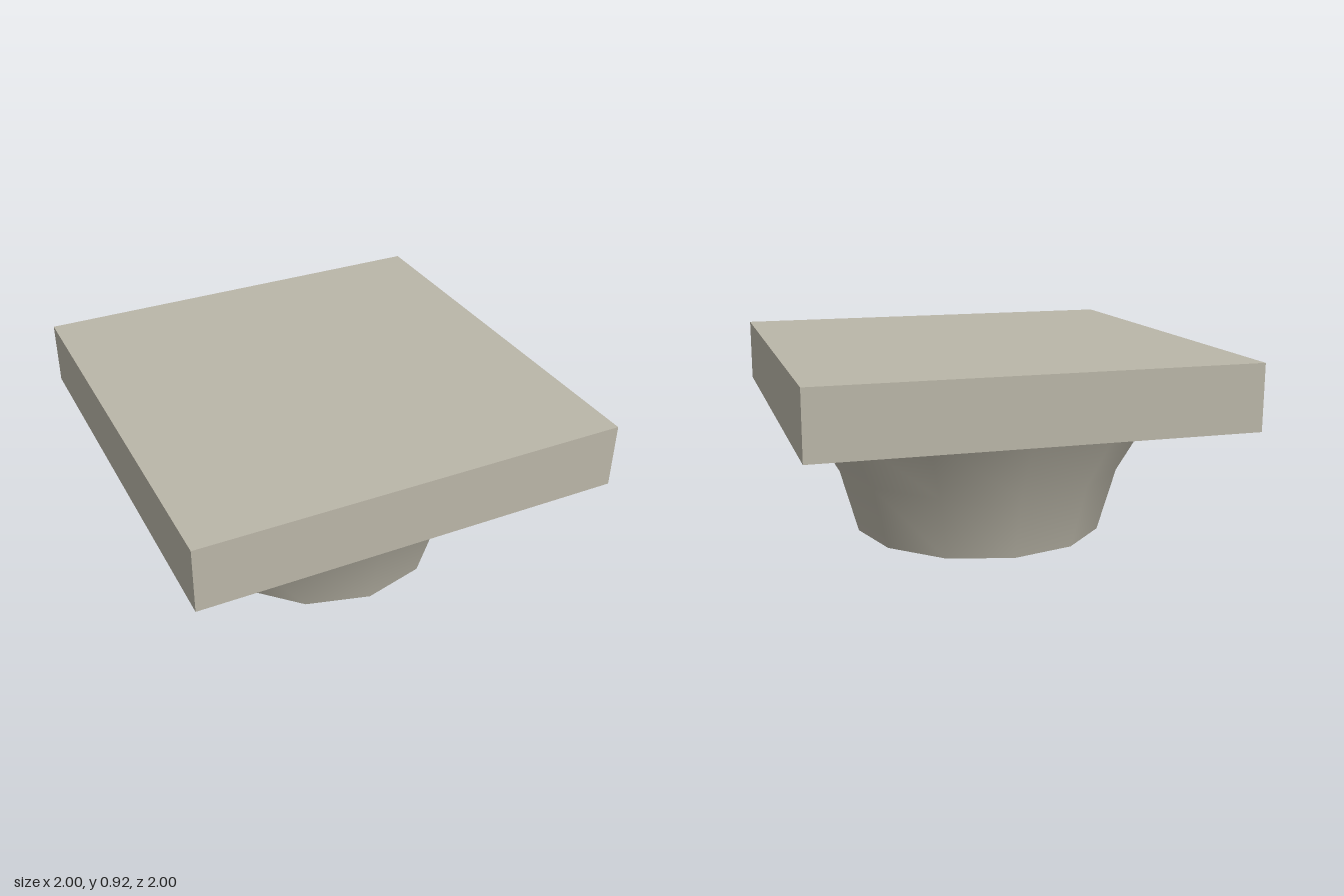
import * as THREE from 'three';

const SIDES = 12;
const SLAB_BOTTOM = 0.612;
const SLAB_TOP = 0.918;

export function createModel() {
  const model = new THREE.Group();
  model.name = 'columnCapital';

  const stone = new THREE.MeshStandardMaterial({ color: 0xbab6a8, side: THREE.DoubleSide });
  stone.name = 'stone';

  const add = (name, geometry, y = 0) => {
    const mesh = new THREE.Mesh(geometry, stone);
    mesh.name = name;
    mesh.position.y = y;
    model.add(mesh);
  };

  // Square slab: a hollow box, open underneath
  const slab = new THREE.BoxGeometry(2, SLAB_TOP - SLAB_BOTTOM, 2);
  const faces = Array.from(slab.index.array);
  faces.splice(18, 6); // drop the downward side
  slab.setIndex(faces);
  slab.clearGroups();
  add('slab', slab, (SLAB_TOP + SLAB_BOTTOM) / 2);

  // Flared twelve-sided neck, smooth around, with corners on the axes
  const profile = [[0.607, 0], [0.694, 0.306], [0.869, SLAB_BOTTOM]]
    .map(([r, y]) => new THREE.Vector2(r, y));
  add('flaredNeck', new THREE.LatheGeometry(profile, SIDES));

  // Flat base closing the neck
  add('base', new THREE.CircleGeometry(0.607, SIDES).rotateX(Math.PI / 2));

  return model;
}
